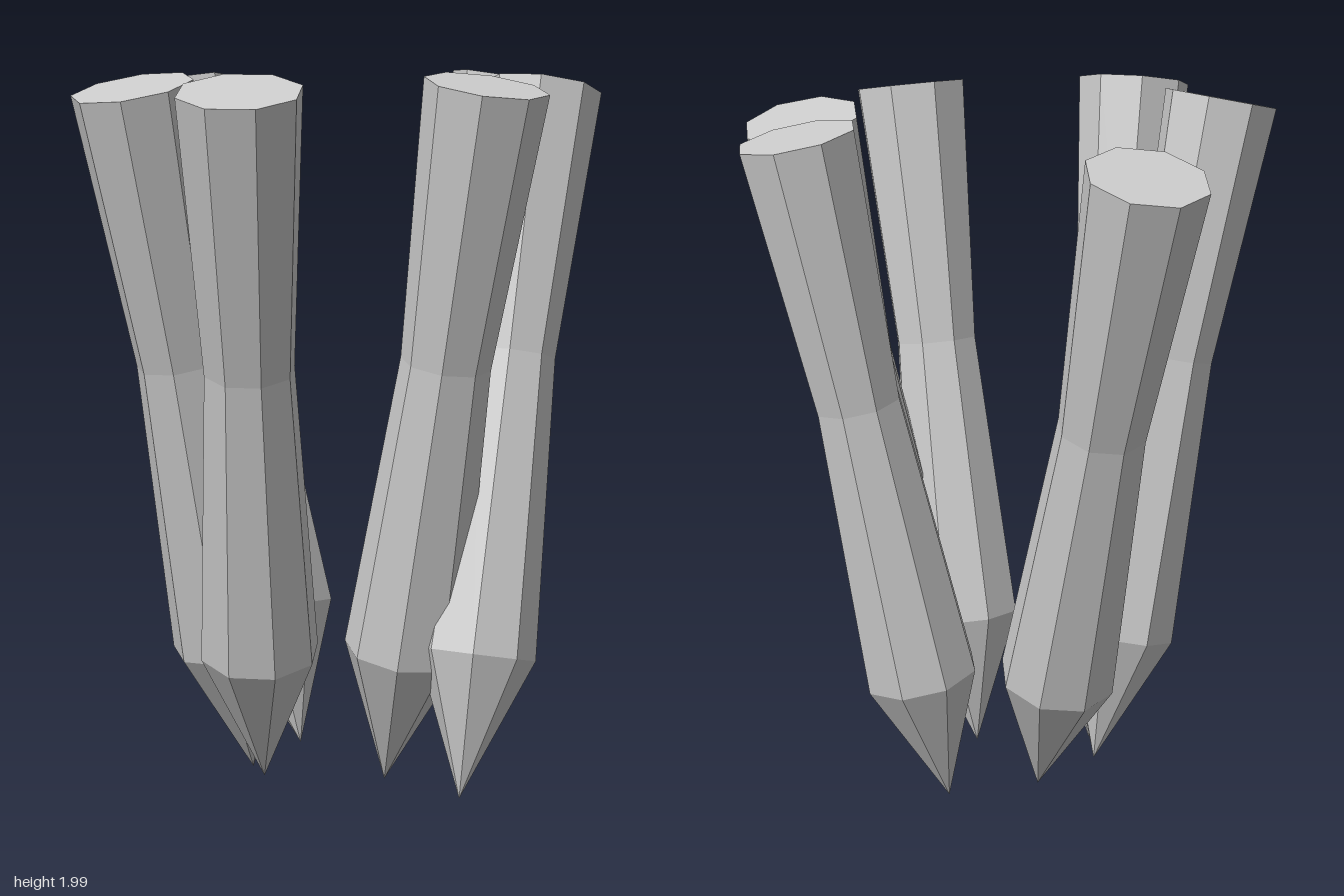
import * as THREE from 'three';

export function createModel() {
  const group = new THREE.Group();
  group.name = 'spikeCluster';
  const material = new THREE.MeshStandardMaterial({ color: 0xcccccc, flatShading: true });

  // Eight-sided spike: pointed tip, wide shoulder, narrow waist, flat flared end
  const profile = [[0, 0], [0.166, 0.4], [0.123, 1.24], [0.166, 2], [0, 2]]
    .map(([r, y]) => new THREE.Vector2(r, y));
  const geometry = new THREE.LatheGeometry(profile, 8);

  // Each spike runs from its tip to the centre of its flat end
  const spikes = [
    { name: 'backSpike', tip: [0.04, 0.03, -0.11], end: [0.04, 1.95, -0.69] },
    { name: 'frontSpike', tip: [0.04, 0.01, 0.28], end: [0.04, 1.965, 0.687] },
    { name: 'leftSpike', tip: [0.285, 0.01, -0.02], end: [0.663, 1.97, 0.085] },
    { name: 'rightSpike', tip: [-0.2, 0.02, -0.02], end: [-0.665, 1.96, 0.085] },
    { name: 'frontLeftSpike', tip: [0.06, 0.02, 0.58], end: [0.525, 1.965, 0.38] },
    { name: 'frontRightSpike', tip: [-0.25, 0.03, 0.1], end: [-0.613, 1.955, 0.49], spin: Math.PI / 8 },
  ];

  const up = new THREE.Vector3(0, 1, 0);
  for (const { name, tip, end, spin = 0 } of spikes) {
    const mesh = new THREE.Mesh(geometry, material);
    mesh.name = name;
    mesh.position.set(...tip);
    const direction = new THREE.Vector3(...end).sub(mesh.position).normalize();
    mesh.quaternion.setFromUnitVectors(up, direction);
    mesh.rotateY(spin);
    group.add(mesh);
  }
  return group;
}
